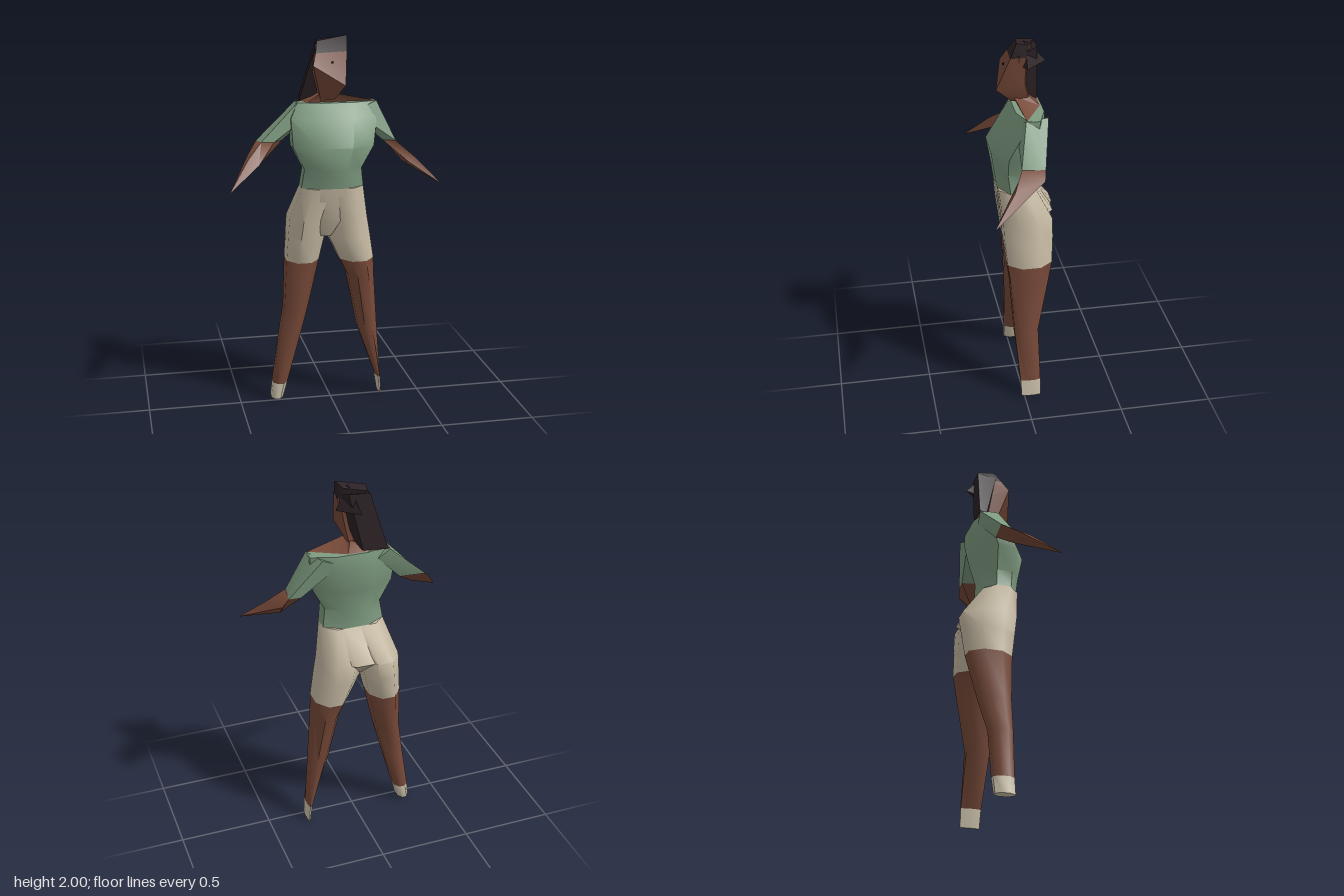
import * as THREE from 'three';
import { toCreasedNormals } from 'three/addons/utils/BufferGeometryUtils.js';

const material = (name, color) => {
  const m = new THREE.MeshStandardMaterial({ color });
  m.name = name;
  return m;
};

// Octagonal horizontal cross-section filling the given x and z extents
function ring(y, x0, x1, z0, z1) {
  const points = [];
  for (let i = 0; i < 8; i++) {
    const a = (i + 0.5) * Math.PI / 4, s = 1 / Math.cos(Math.PI / 8);
    points.push([
      (x0 + x1) / 2 + Math.cos(a) * s * (x1 - x0) / 2,
      y,
      (z0 + z1) / 2 - Math.sin(a) * s * (z1 - z0) / 2,
    ]);
  }
  return points;
}

// Closed skin over cross-sections listed from top to bottom
function loft(rings) {
  const n = rings[0].length, last = (rings.length - 1) * n, index = [];
  for (let r = 0; r < rings.length - 1; r++) {
    for (let i = 0; i < n; i++) {
      const a = r * n + i, b = r * n + (i + 1) % n;
      index.push(a, a + n, b + n, a, b + n, b);
    }
  }
  for (let i = 1; i < n - 1; i++) {
    index.push(0, i, i + 1, last, last + i + 1, last + i);
  }
  const geometry = new THREE.BufferGeometry();
  geometry.setAttribute('position', new THREE.Float32BufferAttribute(rings.flat(2), 3));
  geometry.setIndex(index);
  return toCreasedNormals(geometry, 0.95);
}

export function createModel() {
  const model = new THREE.Group();
  model.name = 'person';
  const skin = material('skin', 0x784a39);
  const shirt = material('shirt green', 0x7f9c81);
  const cloth = material('shorts beige', 0xc8bca5);
  const shoe = material('shoe cream', 0xcfc5ae);
  const hair = material('hair dark', 0x2c2124);
  const black = material('eye black', 0x140e0e);

  const add = (name, mat, rings) => {
    const mesh = new THREE.Mesh(loft(rings), mat);
    mesh.name = name;
    model.add(mesh);
  };
  const rows = (list) => list.map((r) => ring(...r));

  // Torso
  add('shirtBody', shirt, rows([
    [1.65, -0.17, 0.25, -0.125, 0.02],
    [1.57, -0.21, 0.25, -0.13, 0.065],
    [1.43, -0.21, 0.22, -0.105, 0.145],
    [1.31, -0.15, 0.155, -0.08, 0.125],
    [1.21, -0.165, 0.168, -0.085, 0.11],
  ]));
  // Four-point sections run front-left, back-left, back-right, front-right
  add('shoulderSkin', skin, [
    [[0.03, 1.70, 0.015], [0.03, 1.70, -0.06], [-0.06, 1.70, -0.1], [-0.05, 1.70, 0.0]],
    [[0.245, 1.652, -0.015], [0.06, 1.652, -0.115], [-0.165, 1.652, -0.12], [-0.12, 1.652, 0.0]],
  ]);
  add('shortsHips', cloth, rows([
    [1.21, -0.165, 0.168, -0.085, 0.11],
    [1.03, -0.18, 0.13, -0.195, 0.082],
    [0.94, -0.08, 0.02, -0.1, 0.045],
  ]));

  // Legs: trouser leg, bare leg and shoe share their joining sections
  const legs = {
    right: {
      shorts: [[1.21, -0.165, 0.04, -0.085, 0.108], [1.03, -0.22, -0.01, -0.21, 0.085], [0.93, -0.227, -0.03, -0.2, 0.07]],
      cuff: [0.795, -0.235, -0.06, -0.185, 0.05],
      knee: [[0.54, -0.25, -0.12, -0.13, 0.035], [0.36, -0.283, -0.17, -0.09, 0.03]],
      ankle: [0.1, -0.32, -0.24, -0.09, 0.02],
      sole: [0.012, -0.33, -0.265, -0.085, 0.02],
    },
    left: {
      shorts: [[1.21, -0.04, 0.168, -0.085, 0.108], [1.03, -0.02, 0.2, -0.175, 0.088], [0.93, -0.01, 0.217, -0.175, 0.085]],
      cuff: [0.795, 0.055, 0.238, -0.165, 0.073],
      knee: [[0.7, 0.1, 0.242, -0.145, 0.062], [0.4, 0.155, 0.26, -0.085, 0.045]],
      ankle: [0.1, 0.262, 0.287, -0.09, 0.02],
      sole: [0, 0.278, 0.292, -0.09, 0.015],
    },
  };
  for (const [side, l] of Object.entries(legs)) {
    add(side + 'ShortsLeg', cloth, rows([...l.shorts, l.cuff]));
    add(side + 'Leg', skin, rows([l.cuff, ...l.knee, l.ankle]));
    add(side + 'Shoe', shoe, rows([l.ankle, l.sole]));
  }

  // Arms: four-sided sleeve and a forearm tapering to a point
  const arms = {
    right: {
      shoulder: [[-0.1, 1.6, 0.01], [-0.1, 1.6, -0.115], [-0.165, 1.648, -0.122], [-0.18, 1.64, -0.02]],
      cuff: [[-0.3, 1.45, 0.005], [-0.245, 1.45, -0.06], [-0.385, 1.45, -0.072], [-0.365, 1.45, -0.01]],
      elbow: [[-0.39, 1.34, 0.065], [-0.34, 1.375, 0.01], [-0.44, 1.39, 0.005], [-0.445, 1.375, 0.07]],
      tip: [-0.56, 1.23, 0.2],
    },
    left: {
      shoulder: [[0.25, 1.652, -0.01], [0.2, 1.645, -0.133], [0.1, 1.6, -0.115], [0.12, 1.6, 0.02]],
      cuff: [[0.35, 1.44, 0.03], [0.368, 1.44, -0.088], [0.3, 1.44, -0.09], [0.285, 1.44, -0.01]],
      elbow: [[0.44, 1.36, 0.08], [0.4, 1.395, -0.08], [0.39, 1.325, 0.0], [0.405, 1.335, 0.09]],
      tip: [0.56, 1.23, 0.2],
    },
  };
  for (const [side, a] of Object.entries(arms)) {
    add(side + 'Sleeve', shirt, [a.shoulder, a.cuff]);
    add(side + 'Forearm', skin, [a.cuff, a.elbow, Array(4).fill(a.tip)]);
  }

  // Head, turned slightly
  const hairline = [[0.08, 1.92, 0.04], [0.078, 1.92, -0.04], [-0.07, 1.92, -0.105], [-0.083, 1.91, 0.03]];
  add('head', skin, [
    hairline,
    [[0.06, 1.75, 0.11], [0.05, 1.77, -0.04], [-0.08, 1.78, -0.1], [-0.102, 1.85, 0.065]],
    [[0.02, 1.67, 0.025], [0.03, 1.66, -0.07], [-0.08, 1.66, -0.1], [-0.05, 1.66, 0.0]],
  ]);
  add('hairCap', hair, [
    [[0.085, 2.0, 0.01], [0.06, 1.98, -0.05], [-0.05, 1.97, -0.1], [-0.07, 1.97, -0.01]],
    hairline,
  ]);
  add('backHair', hair, [
    [[0.084, 1.93, 0.0], [0.05, 1.965, -0.1], [-0.06, 1.96, -0.105], [-0.08, 1.93, -0.005]],
    [[0.02, 1.67, -0.03], [-0.02, 1.66, -0.115], [-0.155, 1.65, -0.12], [-0.155, 1.65, -0.08]],
  ]);
  add('hairTuft', hair, [
    [[0.04, 1.99, -0.04], [0.03, 1.985, -0.055], [0.025, 1.99, -0.035]],
    [[0.1, 1.865, -0.045], [0.0, 1.87, -0.155], [0.05, 1.87, -0.015]],
  ]);

  // Small dot eye on the face
  const eye = new THREE.Mesh(new THREE.BoxGeometry(0.009, 0.009, 0.008), black);
  eye.name = 'eye';
  eye.position.set(0, 1.865, 0.062);
  model.add(eye);

  return model;
}
